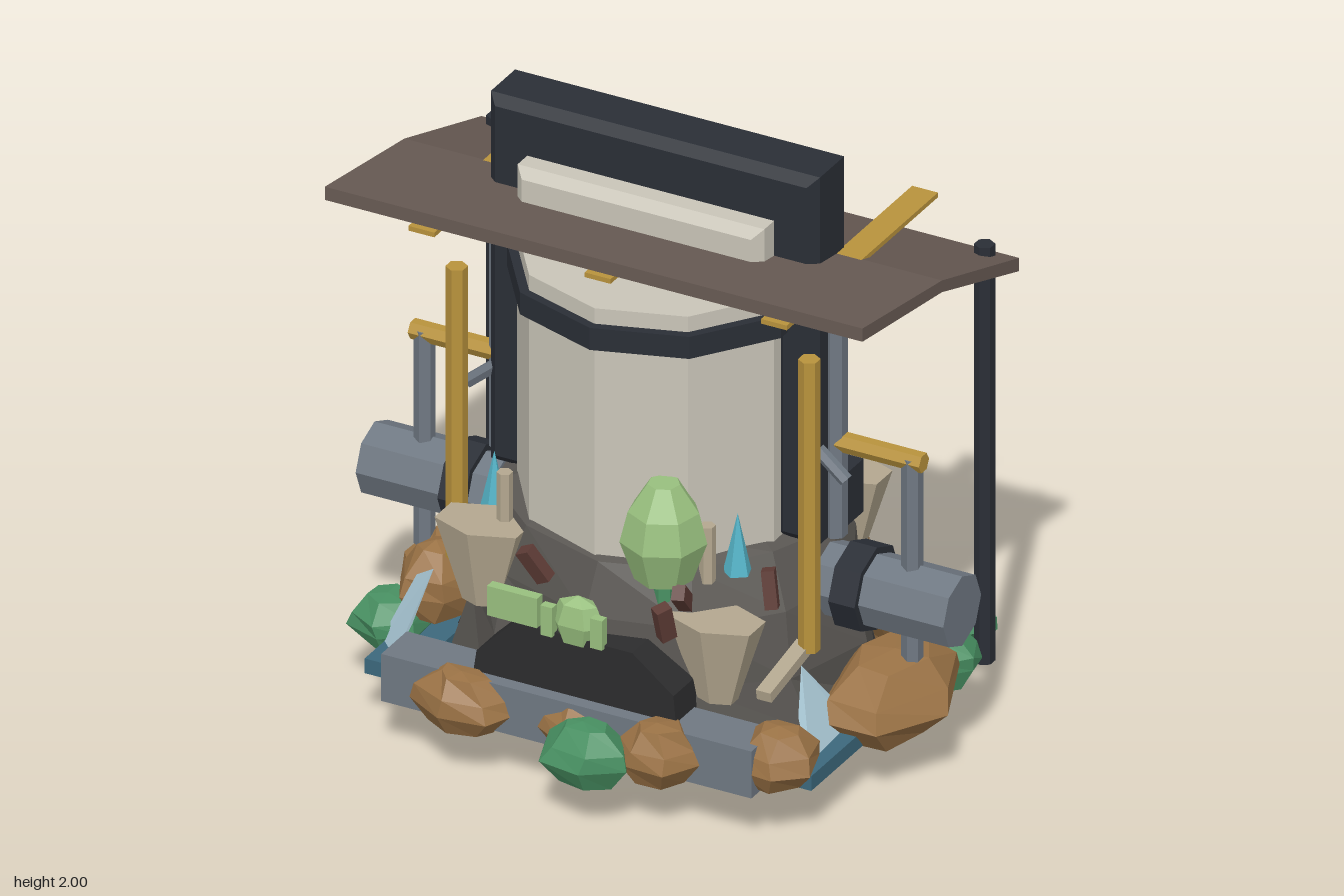
import * as THREE from 'three';

const C = {
  frame: 0x2a2e36, cream: 0xc9c5b8, canopy: 0x685b54, brass: 0xb8923c, steel: 0x6f7882,
  rock: 0x5a5753, coal: 0x2c2c2d, pit: 0x18191a, brown: 0x9a7245, green: 0x489062, leaf: 0x98bf7e,
  bone: 0xb3a78f, rust: 0x5e3c36, water: 0xaecddb, teal: 0x3c687c, crystal: 0x55b4c8,
};
const mats = {};
const mat = (name) => (mats[name] ??= new THREE.MeshStandardMaterial({
  color: C[name], flatShading: true, side: THREE.DoubleSide,
}));

// repeatable pseudo-random offset, equal for coincident vertices
const hash = (x, y, z, s) => {
  const r = (v) => Math.round(v * 1000);
  const h = Math.sin(r(x) * 0.129 + r(y) * 0.782 + r(z) * 0.377 + s * 4.13) * 437.58;
  return (h - Math.floor(h)) * 2 - 1;
};
function jitter(geo, amount, seed = 1) {
  const p = geo.attributes.position;
  for (let i = 0; i < p.count; i++) {
    const [x, y, z] = [p.getX(i), p.getY(i), p.getZ(i)];
    p.setXYZ(i, x + amount * hash(x, y, z, seed), y + amount * 0.5 * hash(x, y, z, seed + 1),
      z + amount * hash(x, y, z, seed + 2));
  }
  geo.computeVertexNormals();
  return geo;
}
const lathe = (pts, sides) => new THREE.LatheGeometry(pts.map(([r, y]) => new THREE.Vector2(r, y)), sides);
const extrude = (pts, depth, bevel = 0) => new THREE.ExtrudeGeometry(
  new THREE.Shape(pts.map((p) => new THREE.Vector2(...p))),
  { depth, bevelEnabled: bevel > 0, bevelThickness: bevel, bevelSize: bevel, bevelSegments: 1 });

export function createModel() {
  const root = new THREE.Group();
  const add = (name, geo, color, x = 0, y = 0, z = 0) => {
    const m = new THREE.Mesh(geo, mat(color));
    m.name = name;
    m.position.set(x, y, z);
    root.add(m);
    return m;
  };
  const box = (name, color, w, h, d, x, y, z) => add(name, new THREE.BoxGeometry(w, h, d), color, x, y, z);
  const post = (name, color, r, y0, y1, x, z, sides = 6) =>
    add(name, new THREE.CylinderGeometry(r, r, y1 - y0, sides), color, x, (y0 + y1) / 2, z);
  const bar = (name, color, r, x0, x1, y, z, sides = 8) => {
    const m = add(name, new THREE.CylinderGeometry(r, r, Math.abs(x1 - x0), sides), color, (x0 + x1) / 2, y, z);
    m.rotation.z = Math.PI / 2;
    return m;
  };
  const sheet = (name, color, pts) => {
    const g = new THREE.BufferGeometry();
    g.setAttribute('position', new THREE.Float32BufferAttribute(pts.flat(), 3));
    g.setIndex(pts.slice(2).flatMap((_, i) => [0, i + 1, i + 2]));
    g.computeVertexNormals();
    return add(name, g, color);
  };

  // island: dark underside and tapering rock mound
  const under = lathe([[0, 0.03], [0.36, 0.03], [0.45, 0.05], [0.52, 0.1], [0.59, 0.15], [0.58, 0.24], [0, 0.26]], 10);
  add('underside', jitter(under, 0.02, 3), 'coal').scale.set(1.12, 1, 1);
  add('undersidePit', new THREE.CylinderGeometry(0.34, 0.34, 0.04, 10), 'pit', 0, 0.02, 0).scale.set(1.12, 1, 1);
  const mound = jitter(lathe([[0, 0.2], [0.62, 0.2], [0.6, 0.38], [0.56, 0.58], [0.5, 0.74], [0.38, 0.79], [0, 0.79]], 11), 0.025, 8);
  add('rockMound', mound, 'rock').scale.set(1.05, 1, 0.93);

  // tower with collar and upper panel
  add('tower', new THREE.CylinderGeometry(0.46, 0.46, 0.89, 10), 'cream', 0, 1.145, 0);
  add('towerBand', new THREE.CylinderGeometry(0.49, 0.49, 0.075, 10), 'frame', 0, 1.5, 0);
  add('upperPanel', extrude([[-0.39, 1.63], [0.39, 1.63], [0.39, 1.8], [-0.39, 1.8]], 0.1, 0.03), 'cream', 0, 0, 0.07);

  // portal frame around the tower
  add('portalFrame', extrude([[-0.53, 0.78], [-0.45, 0.78], [-0.45, 1.6], [0.45, 1.6], [0.45, 0.78], [0.53, 0.78],
    [0.53, 1.97], [-0.53, 1.97]], 0.15, 0.03), 'frame', 0, 0, -0.07);
  box('frameBackPlate', 'frame', 0.56, 0.17, 0.08, 0, 1.68, -0.08);

  // bent canopy extruded across the width
  const roof = [[-0.465, 1.72], [0.03, 1.65], [0.51, 1.49], [0.51, 1.535], [0.03, 1.69], [-0.465, 1.765]];
  add('canopy', extrude(roof, 1.83), 'canopy', -0.915, 0, 0).rotation.y = Math.PI / 2;
  for (const x of [-0.6, 0, 0.6]) box('canopyStrip', 'brass', 0.088, 0.016, 0.94, x, 1.683, -0.03);

  // mirrored side machinery
  for (const s of [-1, 1]) {
    post('canopyPost', 'frame', 0.032, 0.17, 1.59, s * 0.83, -0.45);
    post('brassColumn', 'brass', 0.034, 0.47, 1.46, s * 0.6, 0.22);
    post('sideRod', 'steel', 0.036, 0.75, 1.45, s * 0.57, 0);
    add('sideRodTip', new THREE.ConeGeometry(0.036, 0.03, 6), 'steel', s * 0.57, 1.465, 0);
    bar('brassArm', 'brass', 0.032, s * 0.58, s * 0.87, 1.07, 0, 6);
    post('handlePost', 'steel', 0.033, 0.35, 1.08, s * 0.83, 0);
    bar('pipe', 'steel', 0.118, s * 0.55, s, 0.6, 0);
    bar('pipeCollar', 'frame', 0.14, s * 0.62, s * 0.71, 0.6, 0);
    const brace = bar('brace', 'steel', 0.022, s * 0.52, s * 0.66, 1.03, 0.07, 6);
    brace.rotation.z = Math.PI / 2 - s * 0.7;
    box('frameFoot', 'frame', 0.12, 0.18, 0.12, s * 0.49, 0.81, -0.15);
  }
  for (const z of [-0.25, -0.32]) post('stubPost', 'steel', 0.028, 0.7, z < -0.3 ? 0.98 : 1.03, -0.47, z);

  // water falling down the sides
  sheet('waterfall', 'water', [[0.6, 0.44, 0.27], [0.66, 0.32, 0.22], [0.72, 0.17, 0.1], [0.74, 0.17, 0.46], [0.65, 0.33, 0.38]]);
  sheet('waterfall', 'water', [[-0.58, 0.52, 0.4], [-0.66, 0.46, 0.36], [-0.8, 0.17, 0.36], [-0.7, 0.17, 0.46], [-0.62, 0.35, 0.46]]);

  // pools and front curb
  box('frontCurb', 'steel', 1.26, 0.16, 0.16, 0, 0.25, 0.555);
  box('rearPool', 'teal', 1.26, 0.07, 0.14, 0, 0.2, -0.51);
  for (const s of [-1, 1]) box('sidePool', 'teal', 0.16, 0.05, 0.9, s * 0.68, 0.19, 0.05);

  // cave mouth at the front
  add('caveMouth', extrude([[-0.36, 0.2], [0.36, 0.2], [0.34, 0.42], [0.2, 0.53], [-0.2, 0.53], [-0.33, 0.4]], 0.14), 'coal', 0, 0, 0.45);

  // boulders around the rim: x, z, half width, half depth, centre y, half height, turn
  const boulder = (color, i, [x, z, w, d, y = 0.25, h = 0.1, turn = i * 0.8]) => {
    const g = lathe([[0, -0.95], [0.65, -0.9], [1, -0.2], [0.9, 0.3], [0.5, 0.9], [0, 1]], 6);
    g.rotateY(turn);
    const m = add('boulder', jitter(g, 0.1, i), color, x, y, z);
    m.scale.set(w, h, d);
  };
  [[-0.35, 0.64, 0.16, 0.1], [0.32, 0.64, 0.14, 0.12], [0.66, 0.52, 0.13, 0.13, 0.27], [0.76, 0.0, 0.2, 0.3, 0.28, 0.13, Math.PI / 2],
    [-0.74, -0.05, 0.15, 0.28, 0.28, 0.13], [-0.68, 0.2, 0.13, 0.13, 0.37, 0.12], [0.14, -0.73, 0.16, 0.12, 0.26, 0.11],
    [-0.1, -0.64, 0.16, 0.14, 0.26, 0.12], [-0.46, -0.54, 0.14, 0.09, 0.29, 0.13], [0.25, -0.54, 0.13, 0.1, 0.31, 0.13],
    [0.48, -0.46, 0.14, 0.12, 0.28, 0.12], [-0.7, -0.36, 0.14, 0.13, 0.25], [0.02, 0.6, 0.14, 0.08, 0.24, 0.08]]
    .forEach((b, i) => boulder('brown', i + 1, b));
  [[0.12, 0.73, 0.15, 0.11, 0.24], [-0.79, 0.28, 0.13, 0.12, 0.24, 0.09], [-0.37, -0.63, 0.15, 0.09, 0.24],
    [0.65, -0.55, 0.17, 0.08, 0.24], [0.78, -0.3, 0.11, 0.11, 0.24, 0.09]]
    .forEach((b, i) => boulder('green', i + 20, b));

  // budding plants
  const bud = lathe([[0, 0], [0.09, 0], [0.135, 0.13], [0.11, 0.23], [0.05, 0.32], [0, 0.32]], 7);
  for (const [x, y, z, k] of [[0.22, 0.72, 0.43, 1], [0.2, 0.67, -0.41, 0.9]]) {
    add('plantBud', bud, 'leaf', x, y, z).scale.setScalar(k);
    post('plantStem', 'green', 0.035, 0.45, y + 0.02, x, z);
  }
  add('smallCactus', new THREE.SphereGeometry(0.09, 6, 4), 'leaf', 0, 0.57, 0.56).scale.z = 0.6;
  for (const x of [-0.085, 0.085]) box('cactusArm', 'leaf', 0.04, 0.1, 0.03, x, 0.57, 0.59);
  box('leafBlock', 'leaf', 0.17, 0.1, 0.035, -0.2, 0.59, 0.59);

  // tapered planter shapes set into the mound
  const wedge = new THREE.CylinderGeometry(0.16, 0.07, 0.27, 6);
  for (const [x, y, z, k, color] of [[-0.41, 0.595, 0.4, 1, 'bone'], [0.4, 0.49, 0.43, 1, 'bone'], [-0.42, 0.48, -0.42, 0.95, 'bone'],
    [0.38, 0.6, -0.41, 0.95, 'bone'], [0, 0.57, -0.5, 1.15, 'leaf']]) {
    add('taperedPlanter', wedge, color, x, y, z).scale.set(k, k, k * 0.65);
  }

  // crystals, stubs and rusty shards on top
  for (const [x, y, z] of [[0.4, 0.82, 0.3], [-0.45, 0.79, 0.26], [-0.1, 0.72, -0.5]])
    add('crystal', new THREE.ConeGeometry(0.045, 0.2, 5), 'crystal', x, y, z);
  for (const [x, z] of [[-0.36, 0.36], [0.33, 0.36]]) post('stoneStub', 'bone', 0.025, 0.7, 0.89, x, z);
  [[-0.18, 0.69, 0.5], [0.27, 0.62, 0.52], [0.5, 0.68, 0.28], [0.1, 0.72, -0.47], [-0.15, 0.7, -0.47], [0.3, 0.68, 0.46]]
    .forEach(([x, y, z], i) => {
      const shard = box('rustyShard', 'rust', 0.05, 0.12, 0.04, x, y, z);
      shard.rotation.set(0.3, i, 0.5 - (i % 3) * 0.5);
    });
  box('plank', 'bone', 0.05, 0.035, 0.26, 0.58, 0.45, 0.34).rotation.x = 0.2;

  return root;
}
